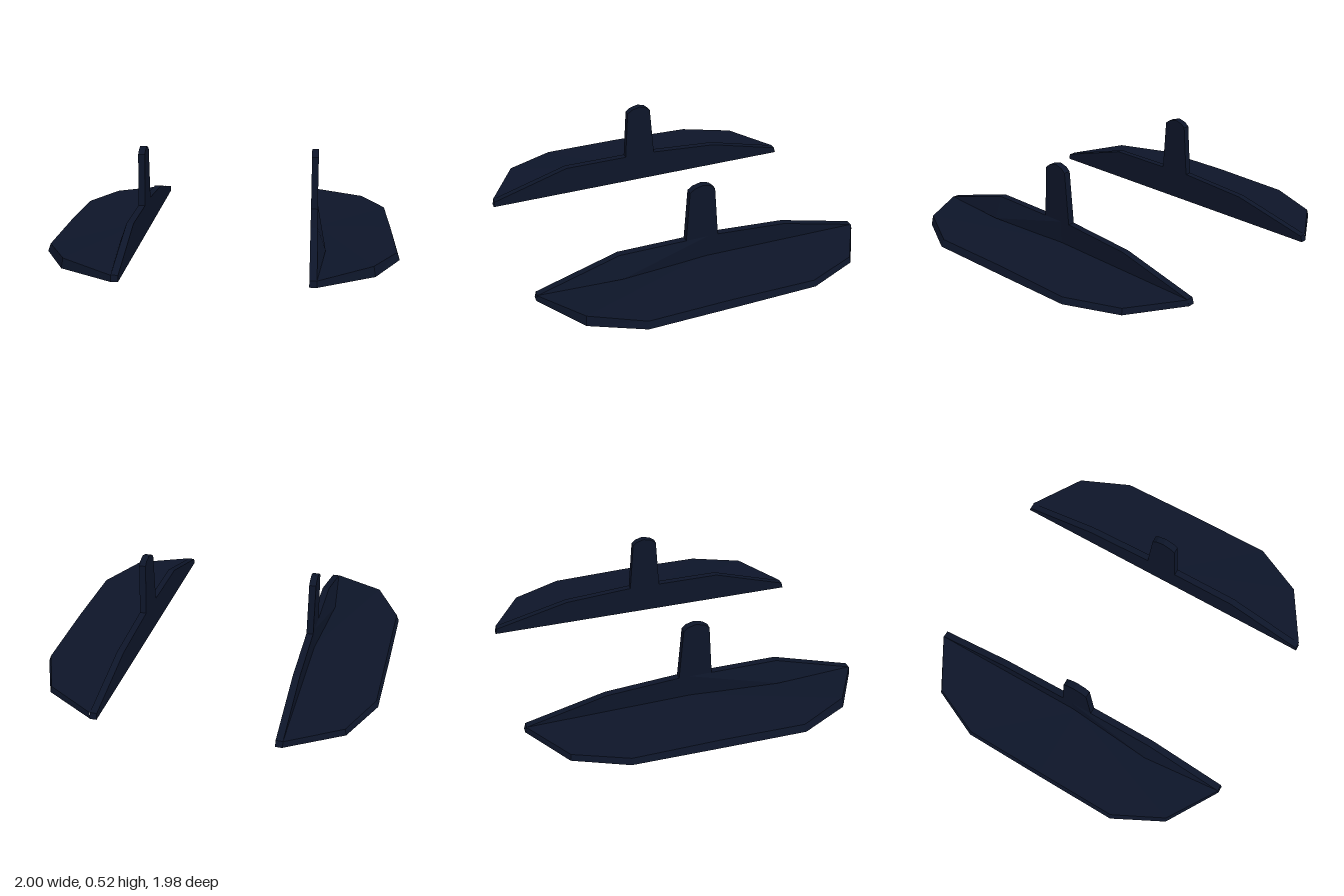
import * as THREE from 'three';

const material = new THREE.MeshStandardMaterial({ color: 0x0d1529, flatShading: true });
const INNER = 0.5, FACE = 0.54;

// Flat-faced geometry from a list of triangles, each made of three [x, y, z] points
function facets(triangles) {
  const geometry = new THREE.BufferGeometry();
  geometry.setAttribute('position', new THREE.Float32BufferAttribute(triangles.flat(2), 3));
  geometry.computeVertexNormals();
  return geometry;
}

// Side profile of [z, y] points, extruded across x from the inner to the outer face
function slab(profile) {
  const shape = new THREE.Shape(profile.map(([z, y]) => new THREE.Vector2(-z, y)));
  const geometry = new THREE.ExtrudeGeometry(shape, { depth: FACE - INNER, bevelEnabled: false });
  return geometry.rotateY(Math.PI / 2).translate(INNER, 0, 0);
}

// Angular plate, slightly hollow underneath: outline of [x, z, bottom, top, top inset] from front to back
function plateGeometry() {
  const outline = [
    [FACE, 0.985, 0, 0.035, 0], [0.85, 0.795, 0.003, 0.06, 0.01], [1, 0.5, 0.006, 0.048, 0.015],
    [0.994, 0, 0.006, 0.052, 0.014], [0.985, -0.5, 0.006, 0.042, 0.012],
    [0.85, -0.802, 0.003, 0.038, 0.008], [FACE, -0.988, 0, 0.035, 0],
  ];
  const low = outline.map(([x, z, bottom]) => [x, bottom, z]);
  const high = outline.map(([x, z, , top, inset]) => [x - inset, top, z - Math.sign(z) * 0.006]);
  const topHub = [FACE, 0.048, 0], lowHub = [FACE, 0.03, 0];
  const triangles = [];
  for (let i = 0; i < outline.length - 1; i++) {
    triangles.push(
      [topHub, high[i], high[i + 1]],
      [lowHub, low[i + 1], low[i]],
      [low[i], low[i + 1], high[i + 1]],
      [low[i], high[i + 1], high[i]],
    );
  }
  return facets(triangles);
}

// Sloping fillet between the plate and the rail
function filletGeometry() {
  const peak = [FACE, 0.18, 0.5], foot = [0.587, 0.05, 0.5], front = [FACE, 0.036, 0.975];
  const rearTop = [FACE, 0.18, -0.03], rearFoot = [FACE, 0.046, -0.03];
  return facets([[front, foot, peak], [foot, rearTop, peak], [foot, rearFoot, rearTop]]);
}

function createSide(name) {
  const side = new THREE.Group();
  side.name = name;
  const parts = {
    plate: plateGeometry(),
    fillet: filletGeometry(),
    rail: slab([
      [0.985, 0], [-0.99, 0], [-0.98, 0.035], [-0.52, 0.15], [-0.1, 0.18], [0.5, 0.18], [0.977, 0.035],
    ]),
    stem: slab([
      [0.1, 0.18], [-0.095, 0.18], [-0.07, 0.49], [-0.045, 0.512], [0, 0.525], [0.05, 0.512], [0.08, 0.49],
    ]),
  };
  for (const [part, geometry] of Object.entries(parts)) {
    const mesh = new THREE.Mesh(geometry, material);
    mesh.name = part;
    side.add(mesh);
  }
  return side;
}

export function createModel() {
  const model = new THREE.Group();
  model.name = 'pairedPlates';
  const left = createSide('leftSide');
  const right = createSide('rightSide');
  right.scale.x = -1;
  model.add(left, right);
  return model;
}
